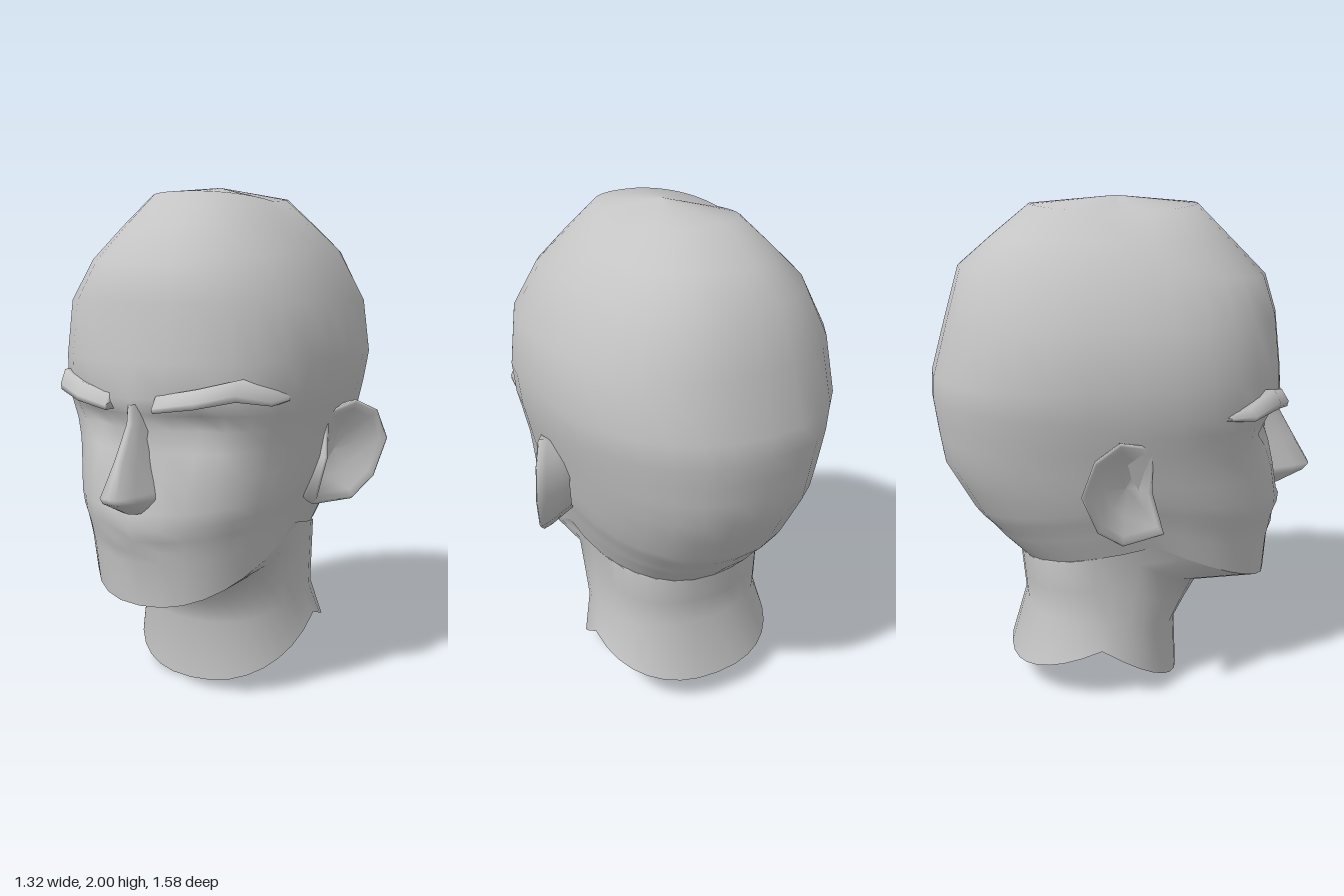
import * as THREE from 'three';

const skin = new THREE.MeshStandardMaterial({ color: 0xc4c4c4, side: THREE.DoubleSide });
skin.name = 'plain grey';

// Joins a list of equal-length point rows into one smooth surface
function loft(name, rows, closed = true) {
  const n = rows[0].length, index = [];
  for (let r = 0; r < rows.length - 1; r++) {
    for (let i = 0; i < (closed ? n : n - 1); i++) {
      const j = (i + 1) % n, a = r * n, b = a + n;
      index.push(a + i, b + i, b + j, a + i, b + j, a + j);
    }
  }
  const geo = new THREE.BufferGeometry();
  geo.setAttribute('position', new THREE.Float32BufferAttribute(rows.flat(2), 3));
  geo.setIndex(index);
  geo.computeVertexNormals();
  const mesh = new THREE.Mesh(geo, skin);
  mesh.name = name;
  return mesh;
}

// Mirrors rows to the other side and keeps the faces outward
const side = (rows, s) => s > 0 ? rows
  : rows.map(row => row.map(([x, y, z]) => [-x, y, z]).reverse());

// Level ring: heights at front, side and back; front and back z; half width; z of widest point
function ring([yF, yS, yB, zF, zB, w, zM], power = 0.88, n = 32) {
  const pts = [];
  for (let i = 0; i < n; i++) {
    const t = i / n * Math.PI * 2, s = Math.sin(t), c = Math.cos(t);
    const k = Math.abs(c) < 1e-6 ? 0 : Math.abs(c) ** power;
    const x = Math.sign(s) * Math.abs(s) ** power * w;
    pts.push([x, yS + ((c > 0 ? yF : yB) - yS) * k, zM + ((c > 0 ? zF : zB) - zM) * k]);
  }
  return pts;
}

const JAW = [0.43, 0.68, 0.57, 0.59, -0.45, 0.39, 0.06];

// Hollows the eye sockets and swells the lips
function sculpt([x, y, z]) {
  if (z < 0.2) return [x, y, z];
  const socket = Math.exp(-(((Math.abs(x) - 0.2) / 0.12) ** 2) - ((y - 1.11) / 0.08) ** 2);
  const lips = Math.exp(-((x / 0.09) ** 2)) *
    (0.035 * Math.exp(-(((y - 0.74) / 0.05) ** 2)) + 0.025 * Math.exp(-(((y - 0.65) / 0.025) ** 2)));
  return [x, y, z - 0.075 * socket + lips];
}

function makeHead() {
  const levels = [
    [2.00, 2.00, 2.00, -0.04, -0.04, 0, -0.04],
    [1.97, 1.94, 1.97, 0.28, -0.38, 0.24, -0.04],
    [1.84, 1.85, 1.85, 0.41, -0.53, 0.345, -0.04],
    [1.70, 1.76, 1.74, 0.55, -0.66, 0.44, -0.04],
    [1.56, 1.56, 1.54, 0.59, -0.72, 0.55, -0.04],
    [1.35, 1.35, 1.33, 0.615, -0.78, 0.57, -0.04],
    [1.22, 1.22, 1.24, 0.635, -0.785, 0.55, -0.03],
    [1.16, 1.16, 1.16, 0.62, -0.775, 0.535, -0.03],
    [1.10, 1.10, 1.08, 0.605, -0.765, 0.52, -0.02],
    [1.02, 1.03, 0.98, 0.60, -0.75, 0.50, -0.01],
    [0.92, 0.96, 0.88, 0.61, -0.695, 0.485, 0],
    [0.80, 0.89, 0.78, 0.63, -0.64, 0.465, 0.02],
    [0.74, 0.85, 0.74, 0.63, -0.61, 0.45, 0.03],
    [0.69, 0.81, 0.70, 0.615, -0.57, 0.435, 0.04],
    [0.65, 0.78, 0.67, 0.61, -0.545, 0.425, 0.04],
    [0.60, 0.75, 0.64, 0.60, -0.52, 0.415, 0.05],
    JAW,
  ];
  return loft('head', levels.map(l => ring(l).map(sculpt)));
}

// Underside of the jaw, neck and open lower rim
function makeNeck() {
  return loft('neck', [
    JAW,
    [0.42, 0.65, 0.57, 0.30, -0.45, 0.365, -0.09],
    [0.34, 0.50, 0.46, 0.25, -0.44, 0.36, -0.10],
    [0.25, 0.35, 0.35, 0.20, -0.43, 0.355, -0.11],
    [0.00, 0.24, 0.11, 0.21, -0.50, 0.39, -0.15],
  ].map(l => ring(l)));
}

function makeNose() {
  // y, ridge z, ridge half width, wing half width, wing z
  const rows = [
    [1.20, 0.635, 0.012, 0.04, 0.58],
    [1.13, 0.645, 0.014, 0.045, 0.56],
    [1.00, 0.72, 0.02, 0.06, 0.57],
    [0.88, 0.79, 0.035, 0.09, 0.60],
    [0.855, 0.765, 0.04, 0.095, 0.60],
    [0.80, 0.66, 0.025, 0.06, 0.58],
  ].map(([y, z, r, w, wz]) => [
    [-w, y, wz], [-(r + w) / 2, y, (z * 1.3 + wz) / 2.3], [-r, y, z - 0.008], [0, y, z],
    [r, y, z - 0.008], [(r + w) / 2, y, (z * 1.3 + wz) / 2.3], [w, y, wz],
  ]);
  return loft('nose', rows, false);
}

function makeBrow(s) {
  // x, y, z and half height along the brow
  const path = [
    [0.10, 1.205, 0.63, 0], [0.10, 1.205, 0.65, 0.03], [0.25, 1.23, 0.615, 0.035],
    [0.38, 1.26, 0.545, 0.038], [0.465, 1.225, 0.43, 0.025], [0.49, 1.22, 0.33, 0.008],
  ];
  const rows = path.map(([x, y, z, h]) => [
    [x, y - h, z - 0.09], [x, y - h, z - 0.005], [x, y - h * 0.4, z],
    [x, y + h, z - 0.03], [x, y + h, z - 0.10],
  ]);
  return loft(s > 0 ? 'leftBrow' : 'rightBrow', side(rows, s));
}

function makeEar(s) {
  // Outline as z, y
  const outline = [[0.08, 0.77], [-0.09, 0.77], [-0.19, 0.85], [-0.25, 1.0],
    [-0.2, 1.12], [-0.1, 1.17], [0.03, 1.13], [0.03, 0.95]];
  // Scale about the middle and depth, from the bowl over the rim to the root
  const steps = [[0, -0.06], [0.5, -0.05], [0.82, -0.005], [0.94, 0.006], [1, 0], [0.95, -0.035], [0.7, -0.13]];
  const rows = steps.map(([k, d]) => outline.map(([z0, y0]) => {
    const z = -0.07 + (z0 + 0.07) * k, y = 0.97 + (y0 - 0.97) * k;
    return [0.495 + (0.05 - z) * 0.55 + d, y, z];
  }));
  return loft(s > 0 ? 'leftEar' : 'rightEar', side(rows, s));
}

export function createModel() {
  const model = new THREE.Group();
  model.name = 'humanHead';
  model.add(makeHead(), makeNeck(), makeNose());
  for (const s of [1, -1]) model.add(makeBrow(s), makeEar(s));
  return model;
}
